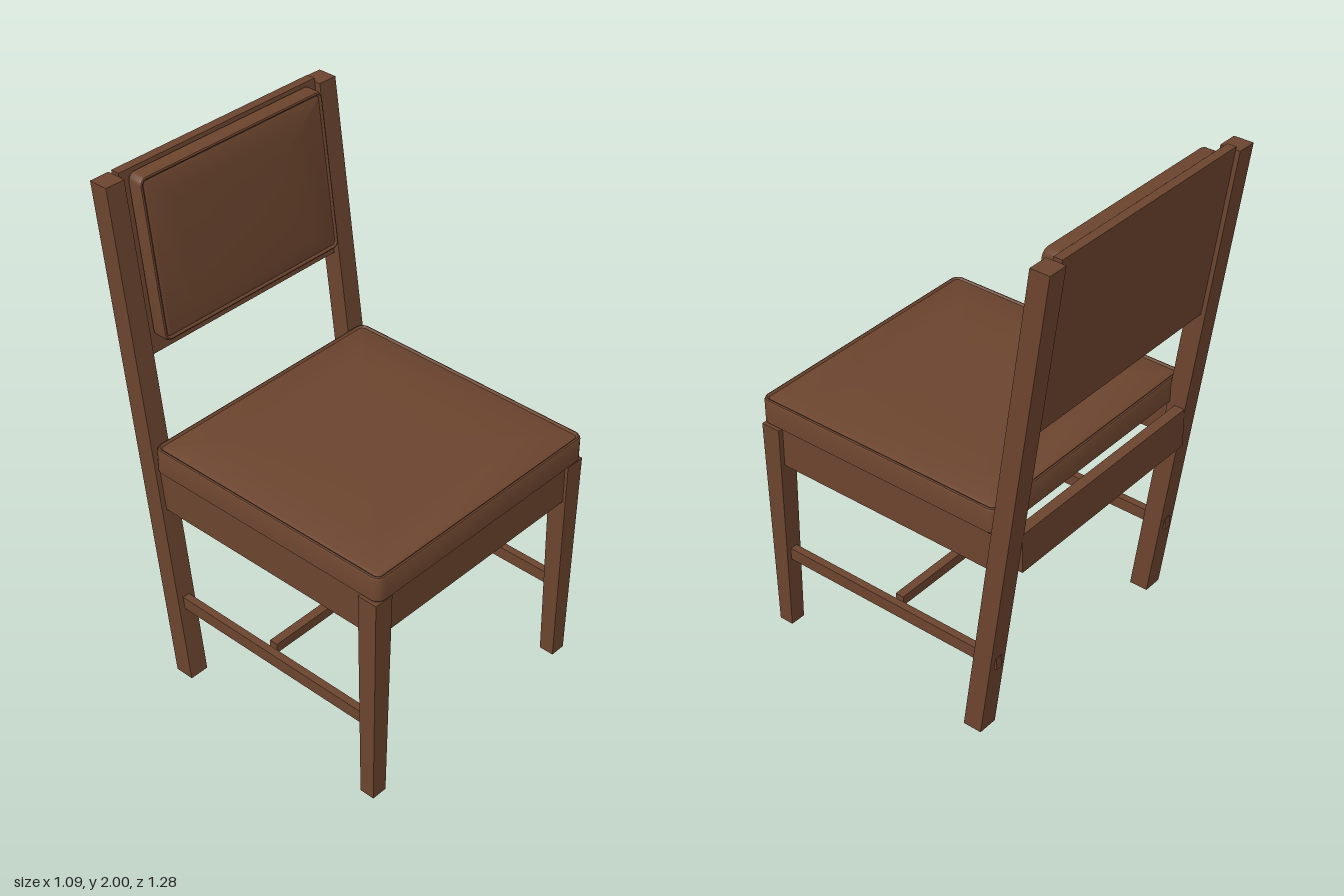
import * as THREE from 'three';
import { toCreasedNormals } from 'three/addons/utils/BufferGeometryUtils.js';

const LEAN = 0.1385; // backward slope of the back legs and backrest

// Slide every vertex back in proportion to its height
function lean(geo) {
  const p = geo.attributes.position;
  for (let i = 0; i < p.count; i++) p.setZ(i, p.getZ(i) - LEAN * p.getY(i));
  geo.computeVertexNormals();
  return geo;
}

// Box given by its limits on each axis
function block(x0, x1, y0, y1, z0, z1) {
  return new THREE.BoxGeometry(x1 - x0, y1 - y0, z1 - z0)
    .translate((x0 + x1) / 2, (y0 + y1) / 2, (z0 + z1) / 2);
}

// Outline of a rounded rectangle in the xz plane
function outline(w, d, r) {
  const pts = [];
  [[1, 1], [-1, 1], [-1, -1], [1, -1]].forEach(([sx, sz], q) => {
    for (let k = 0; k <= 5; k++) {
      const a = (q + k / 5) * Math.PI / 2;
      pts.push([sx * (w / 2 - r) + r * Math.cos(a), sz * (d / 2 - r) + r * Math.sin(a)]);
    }
  });
  return pts;
}

// Upholstered pad: rings of [inset, height, scale], lofted from bottom to top
function pad(w, d, r, rings) {
  const pos = [], index = [];
  const n = 24;
  rings.forEach(([inset, y, s = 1]) => {
    const ring = outline(w - 2 * inset, d - 2 * inset, Math.max(r - inset, 0.004));
    ring.forEach(([x, z]) => pos.push(x * s, y, z * s));
  });
  for (let j = 0; j < rings.length - 1; j++) {
    for (let i = 0; i < n; i++) {
      const a = j * n + i, b = j * n + (i + 1) % n;
      index.push(a, a + n, b, b, a + n, b + n);
    }
  }
  const geo = new THREE.BufferGeometry();
  geo.setAttribute('position', new THREE.Float32BufferAttribute(pos, 3));
  geo.setIndex(index);
  return geo;
}

// Pad cross-section with a piped rim and a gently domed top
function padRings(h, dome, belly) {
  return [
    [0.01, -belly, 0.001], [0.01, -belly, 0.5], [0.01, 0], [0, 0.01], [0, h - 0.01],
    [0.004, h - 0.002], [0.009, h], [0.014, h - 0.002], [0.017, h - 0.006], [0.03, h],
    [0.03, h + dome * 0.5, 0.75], [0.03, h + dome * 0.88, 0.45],
    [0.03, h + dome, 0.2], [0.03, h + dome, 0.001],
  ];
}

export function createModel() {
  const chair = new THREE.Group();
  chair.name = 'chair';
  const wood = new THREE.MeshStandardMaterial({ color: 0x6b442e });
  wood.name = 'brown';
  const add = (name, geo) => {
    const mesh = new THREE.Mesh(geo, wood);
    mesh.name = name;
    chair.add(mesh);
  };

  // Seat pad
  const seat = pad(1.08, 1.06, 0.035, padRings(0.107, 0.014, 0.004));
  seat.translate(0, 0.9, 0.106);
  add('seat', toCreasedNormals(seat, 0.6));

  // Backrest board and its pad
  add('backBoard', lean(block(-0.465, 0.465, 1.32, 2, -0.348, -0.313)));
  const back = pad(0.87, 0.608, 0.03, padRings(0.066, 0.012, 0));
  back.rotateX(Math.PI / 2).translate(0, 1.686, -0.314);
  add('backPad', toCreasedNormals(lean(back), 0.6));

  // Legs, side rails and side stretchers on both sides
  for (const s of [-1, 1]) {
    const side = s > 0 ? 'left' : 'right';
    const frontLeg = new THREE.BoxGeometry(0.08, 0.9, 0.08);
    const p = frontLeg.attributes.position;
    for (let i = 0; i < p.count; i++) {
      if (p.getY(i) < 0) p.setXYZ(i, p.getX(i) * 0.8, p.getY(i), p.getZ(i) * 0.75);
    }
    frontLeg.computeVertexNormals();
    add(side + 'FrontLeg', frontLeg.translate(s * 0.505, 0.45, 0.59));

    const c = s * 0.505;
    add(side + 'BackLeg', lean(block(c - 0.04, c + 0.04, 0, 1.987, -0.365, -0.288)));
    add(side + 'Rail', block(c - 0.02, c + 0.02, 0.74, 0.9, -0.44, 0.56));
    add(side + 'Stretcher', block(c - 0.015, c + 0.015, 0.305, 0.355, -0.417, 0.57));
  }

  // Front and back rails, cross stretcher
  add('frontRail', block(-0.468, 0.468, 0.74, 0.9, 0.575, 0.617));
  add('backRail', block(-0.468, 0.468, 0.74, 0.9, -0.487, -0.445));
  add('crossStretcher', block(-0.466, 0.466, 0.31, 0.35, 0.055, 0.09));

  return chair;
}
